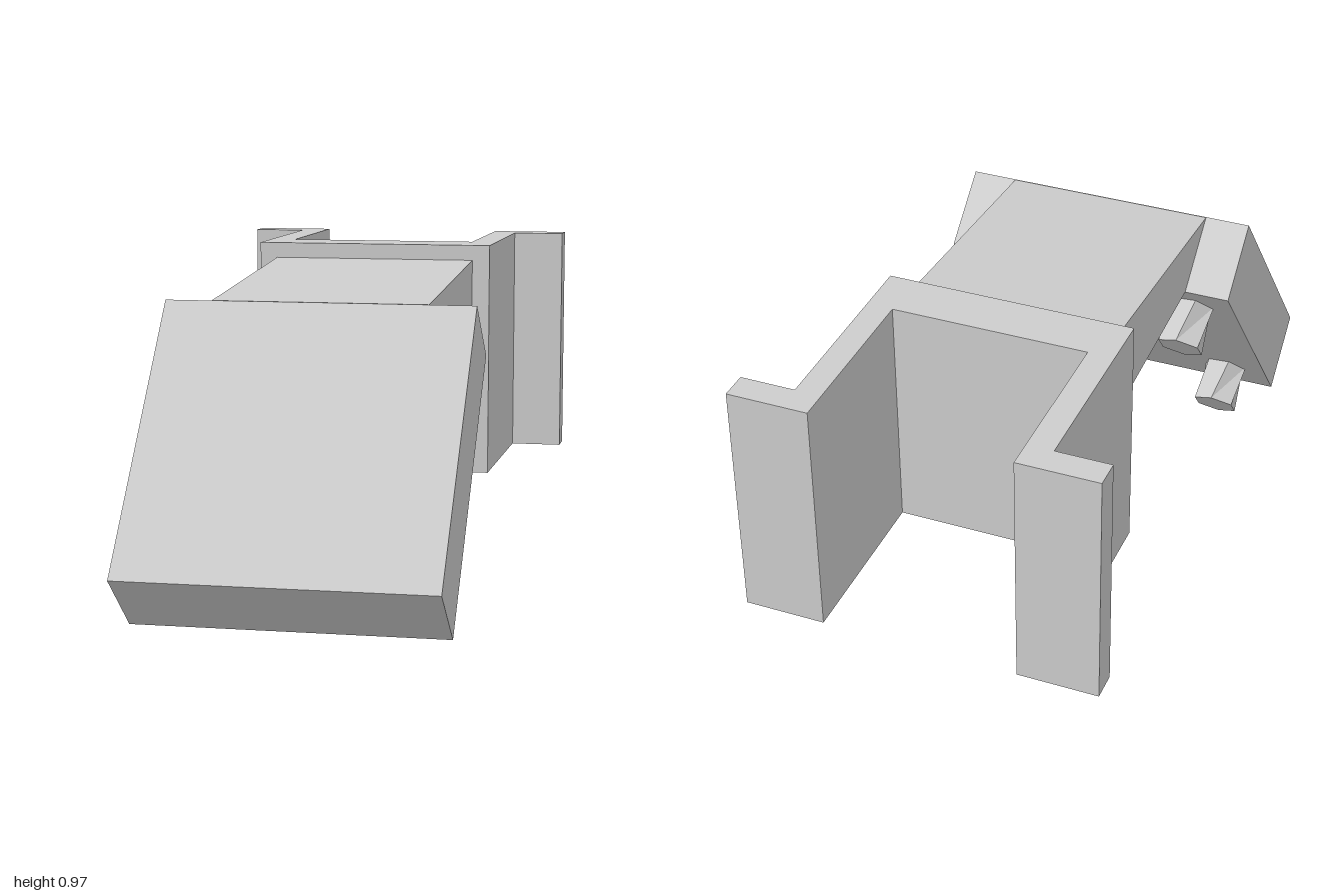
import * as THREE from 'three';

const grey = new THREE.MeshStandardMaterial({ color: 0xcccccc, flatShading: true });
grey.name = 'plain grey';

const shapeOf = (pts) => new THREE.Shape(pts.map(([a, b]) => new THREE.Vector2(a, b)));

// Side profile given as [z, y], extruded symmetrically across x
function sideExtrude(pts, halfWidth) {
  const geo = new THREE.ExtrudeGeometry(shapeOf(pts), { depth: halfWidth * 2, bevelEnabled: false });
  return geo.translate(0, 0, -halfWidth).rotateY(-Math.PI / 2);
}

// Plan outline given as [x, -z], extruded upwards
function planExtrude(pts, bottom, top) {
  const geo = new THREE.ExtrudeGeometry(shapeOf(pts), { depth: top - bottom, bevelEnabled: false });
  return geo.rotateX(-Math.PI / 2).translate(0, bottom, 0);
}

// Hexagonal peg whose foot is twisted against its tip
function pegGeometry(length, twist) {
  const geo = new THREE.CylinderGeometry(0.07, 0.07, length, 6).toNonIndexed();
  const pos = geo.attributes.position;
  const v = new THREE.Vector3();
  const up = new THREE.Vector3(0, 1, 0);
  for (let i = 0; i < pos.count; i++) {
    v.fromBufferAttribute(pos, i);
    if (v.y < 0) v.applyAxisAngle(up, twist);
    pos.setXYZ(i, v.x, v.y, v.z);
  }
  geo.computeVertexNormals();
  return geo;
}

export function createModel() {
  const model = new THREE.Group();
  model.name = 'hinged bracket';
  const add = (name, geo) => {
    const mesh = new THREE.Mesh(geo, grey);
    mesh.name = name;
    model.add(mesh);
    return mesh;
  };

  // Rear channel with outward flanges
  const half = [[0.355, 0.34], [0.355, 0.92], [0.51, 0.92], [0.51, 1], [0.28, 1], [0.28, 0.49]];
  const mirrored = half.map(([x, y]) => [-x, y]).reverse();
  add('rearChannel', planExtrude([...half, ...mirrored], 0.28, 0.975));

  // Tapered arm with a small fillet beneath its root
  add('arm', sideExtrude([
    [0.435, 0.87], [-0.345, 0.93], [-0.345, 0.64], [-0.335, 0.64], [-0.29, 0.675], [0.26, 0.715],
  ], 0.303));

  // Sloping slab
  add('slab', sideExtrude([[0.438, 0.87], [0.26, 0.715], [0.815, 0.043], [1, 0.2]], 0.434));

  // Four pegs on the underside of the slab
  const tilt = Math.atan2(-0.77, -0.638);
  for (const side of [-1, 1]) {
    for (const [row, y, z] of [['upper', 0.575, 0.295], ['lower', 0.107, 0.685]]) {
      const peg = add(`${row}${side > 0 ? 'Left' : 'Right'}Peg`, pegGeometry(0.14, side * 0.35));
      peg.position.set(side * 0.3, y, z);
      peg.rotation.x = tilt;
    }
  }
  return model;
}
